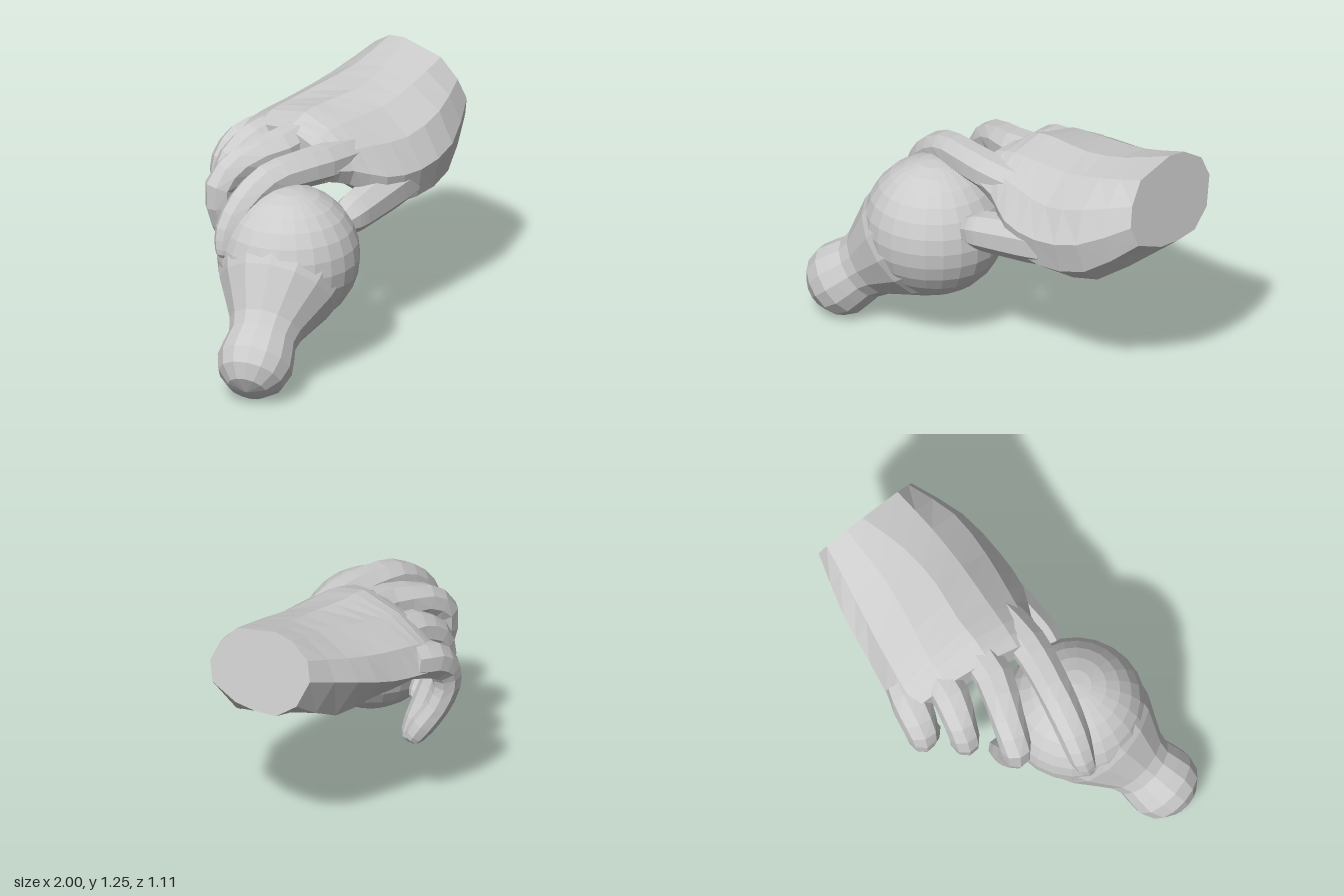
import * as THREE from 'three';

const material = new THREE.MeshStandardMaterial({ color: 0xcccccc, flatShading: true });

// Closed skin over a list of rings (arrays of Vector3), capped at both ends
function loft(rings) {
  const n = rings[0].length, pos = [], idx = [];
  const centre = (ring) => ring.reduce((s, p) => s.add(p), new THREE.Vector3()).divideScalar(n);
  rings.forEach((ring) => ring.forEach((p) => pos.push(p.x, p.y, p.z)));
  const last = rings.length - 1, c0 = n * rings.length;
  [centre(rings[0]), centre(rings[last])].forEach((p) => pos.push(p.x, p.y, p.z));
  for (let j = 0; j < n; j++) {
    const k = (j + 1) % n;
    for (let i = 0; i < last; i++) {
      const a = i * n + j, b = i * n + k;
      idx.push(a, a + n, b, b, a + n, b + n);
    }
    idx.push(c0, j, k, c0 + 1, last * n + k, last * n + j);
  }
  const geo = new THREE.BufferGeometry();
  geo.setAttribute('position', new THREE.Float32BufferAttribute(pos, 3));
  geo.setIndex(idx);
  geo.computeVertexNormals();
  return geo;
}

// Finger along points [x, y, z, radius]
function finger(points) {
  const sides = 8;
  const path = new THREE.CatmullRomCurve3(points.map((p) => new THREE.Vector3(p[0], p[1], p[2])));
  const radii = new THREE.CatmullRomCurve3(points.map((p, i) => new THREE.Vector3(p[3], i, 0)));
  const steps = (points.length - 1) * 2, rings = [];
  const addRing = (centre, d, r) => {
    const u = new THREE.Vector3(0, 0, 1).cross(d).normalize();
    const v = d.clone().cross(u);
    const ring = [];
    for (let j = 0; j < sides; j++) {
      const a = -((j + 0.5) / sides) * Math.PI * 2;
      ring.push(centre.clone().addScaledVector(u, Math.cos(a) * r).addScaledVector(v, Math.sin(a) * r));
    }
    rings.push(ring);
  };
  for (let i = 0; i <= steps; i++) addRing(path.getPoint(i / steps), path.getTangent(i / steps), radii.getPoint(i / steps).x);
  // Rounded fingertip
  const end = path.getPoint(1), d = path.getTangent(1), r = points[points.length - 1][3];
  addRing(end.clone().addScaledVector(d, r * 0.5), d, r * 0.8);
  addRing(end.clone().addScaledVector(d, r * 0.8), d, r * 0.4);
  return loft(rings);
}

// Hand sections from wrist to knuckles: [z, y] loops, little-finger edge, back, thumb edge, palm
const sections = [
  [-.3, 1.06, -.27, 1.16, -.16, 1.23, -.06, 1.245, .17, 1.2, .26, 1.1, .3, 1, .27, .9, .12, .84, 0, .83, -.13, .84, -.24, .92],
  [-.4, .96, -.33, 1.07, -.17, 1.16, 0, 1.18, .18, 1.14, .34, 1.03, .41, .87, .37, .71, .27, .63, .14, .74, -.1, .76, -.28, .75],
  [-.45, .87, -.39, 1.01, -.21, 1.12, 0, 1.14, .17, 1.09, .33, .97, .42, .82, .39, .67, .28, .61, .17, .73, -.06, .86, -.32, .74],
  [-.495, .84, -.43, .98, -.26, 1.08, -.04, 1.125, .14, 1.08, .28, .98, .38, .84, .36, .72, .23, .7, .12, .82, -.08, .9, -.38, .75],
  [-.52, .83, -.45, .95, -.28, 1.06, -.05, 1.115, .12, 1.07, .24, .99, .29, .9, .26, .82, .16, .82, .05, .88, -.12, .92, -.4, .76],
  [-.52, .82, -.46, .91, -.29, 1.01, -.06, 1.06, .1, 1.03, .21, .99, .25, .93, .22, .87, .14, .86, .03, .91, -.15, .91, -.4, .79],
];
// Each station: x, lean with height, lean with depth
const stations = [[.94, -.24, -.06], [.66, -.1, 0], [.42, 0, 0], [.22, 0, -.05], [.08, 0, -.12], [-.04, 0, -.24]];

function palmGeometry() {
  // One smooth line per point of the loop, running from the wrist to the knuckles
  const lines = [];
  for (let j = 0; j < 24; j += 2) {
    lines.push(new THREE.CatmullRomCurve3(sections.map((s, i) => {
      const [x, leanY, leanZ] = stations[i];
      return new THREE.Vector3(x + leanY * (s[j + 1] - 1.04) + leanZ * s[j], s[j + 1], s[j]);
    })));
  }
  const rings = [];
  for (let i = 0; i <= 10; i++) rings.push(lines.map((line) => line.getPoint(i / 10)));
  return loft(rings);
}

export function createModel() {
  const model = new THREE.Group();
  const add = (parent, name, geo) => {
    const mesh = new THREE.Mesh(geo, material);
    mesh.name = name;
    parent.add(mesh);
    return mesh;
  };

  // Round ball with a necked knob
  const handle = new THREE.Group();
  handle.name = 'ballHandle';
  model.add(handle);
  const ballCentre = new THREE.Vector3(-.37, .57, .205);
  const knobCentre = new THREE.Vector3(-.825, .185, .355);
  add(handle, 'ball', new THREE.SphereGeometry(.355, 24, 14)).position.copy(ballCentre);
  // Profile runs from inside the ball out to the knob tip
  const profile = [[.33, .1], [.295, .22], [.235, .33], [.187, .42], [.17, .49], [.182, .56],
    [.19, .63], [.165, .71], [.1, .77], [0, .79]];
  const neck = add(handle, 'neckAndKnob',
    new THREE.LatheGeometry(profile.map(([r, t]) => new THREE.Vector2(r, t)), 14));
  neck.position.copy(ballCentre);
  neck.quaternion.setFromUnitVectors(new THREE.Vector3(0, 1, 0), knobCentre.clone().sub(ballCentre).normalize());

  // Hand resting over the ball
  const hand = new THREE.Group();
  hand.name = 'hand';
  model.add(hand);
  add(hand, 'palmAndWrist', palmGeometry());
  add(hand, 'thumb', finger([[.42, .75, .3, .11], [.3, .735, .3, .115], [.16, .715, .305, .108],
    [.02, .695, .31, .1], [-.03, .685, .31, .09]]));
  add(hand, 'indexFinger', finger([[.16, .93, .18, .095], [-.06, .945, .17, .098], [-.24, .95, .13, .092],
    [-.39, .935, .085, .088], [-.53, .85, .045, .08], [-.62, .73, .02, .066], [-.65, .64, .025, .05]]));
  add(hand, 'middleFinger', finger([[.12, 1, -.05, .095], [-.08, .97, -.075, .1], [-.28, .93, -.165, .085],
    [-.39, .83, -.21, .078], [-.37, .65, -.2, .068], [-.28, .5, -.185, .066], [-.23, .43, -.175, .057]]));
  add(hand, 'ringFinger', finger([[.14, .95, -.26, .09], [0, .93, -.29, .095], [-.12, .86, -.335, .08],
    [-.17, .74, -.345, .073], [-.13, .56, -.31, .065], [-.07, .39, -.27, .066], [-.045, .315, -.25, .056]]));
  add(hand, 'littleFinger', finger([[.22, .88, -.41, .09], [.1, .85, -.45, .098], [.01, .77, -.475, .085],
    [-.005, .67, -.48, .07], [.025, .55, -.445, .062], [.06, .45, -.385, .062], [.08, .39, -.35, .052]]));
  return model;
}
